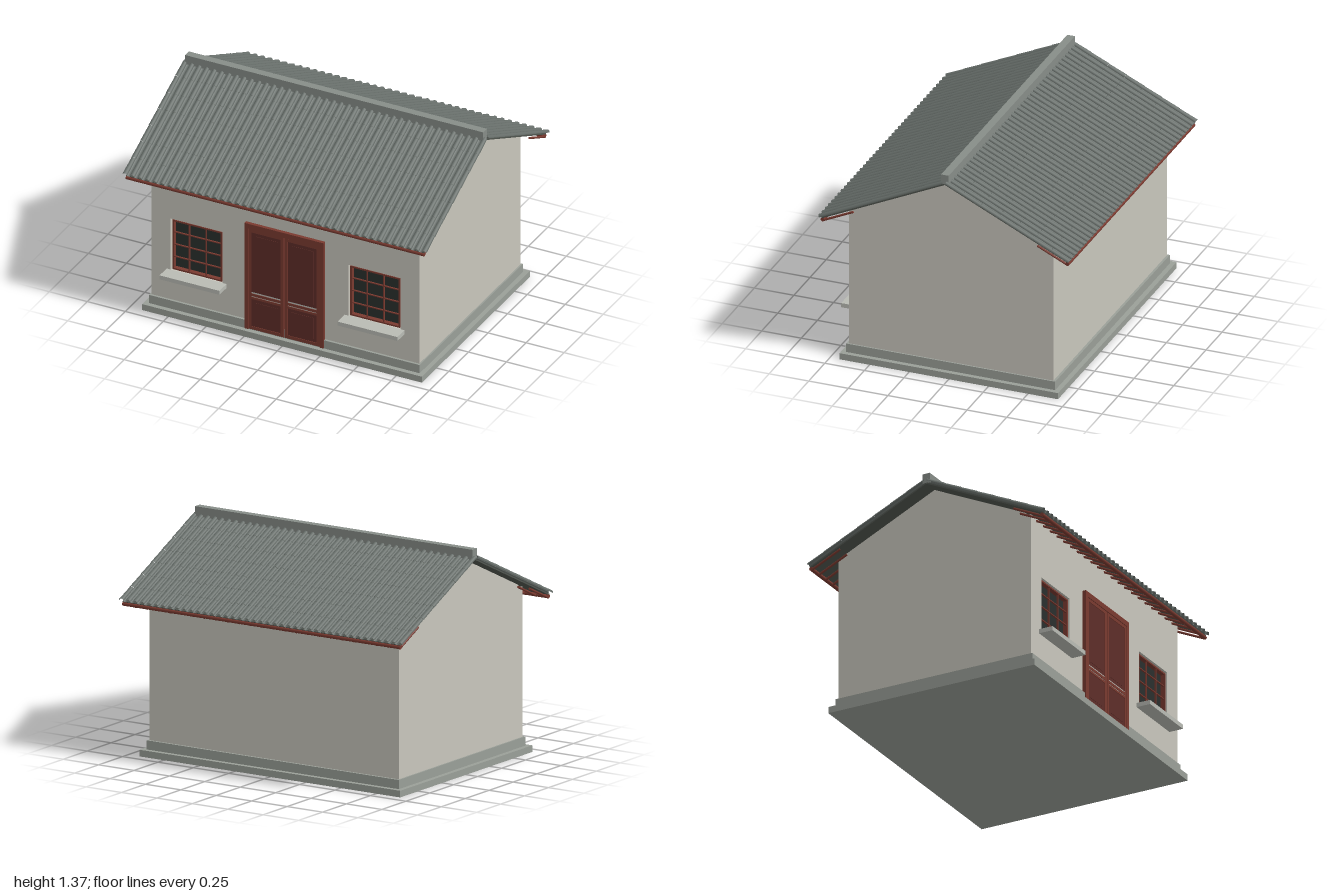
import * as THREE from 'three';
import { mergeGeometries } from 'three/addons/utils/BufferGeometryUtils.js';

const mat = (color) => new THREE.MeshStandardMaterial({ color });
const M = {
  wall: mat(0xc8c6bc), stone: mat(0x9a9f98), sill: mat(0xb9bbb4), ridge: mat(0x878d88),
  slab: mat(0x50554f), tile: mat(0x686f6b), wood: mat(0x7a3a30), panel: mat(0x5e2d28), glass: mat(0x2a2f2d),
};
M.tile.side = THREE.DoubleSide;

const SLOPE = Math.atan(0.47), APEX = 1.3, SLOPE_LEN = 0.862;

function add(parent, name, geo, material) {
  const m = new THREE.Mesh(geo, material);
  m.name = name;
  parent.add(m);
  return m;
}

// Box given by its extents
function span(x0, x1, y0, y1, z0, z1) {
  return new THREE.BoxGeometry(x1 - x0, y1 - y0, z1 - z0)
    .translate((x0 + x1) / 2, (y0 + y1) / 2, (z0 + z1) / 2);
}

// Rectangular frame of width w
function frameGeo(x0, x1, y0, y1, w, z0, z1) {
  return mergeGeometries([
    span(x0, x0 + w, y0, y1, z0, z1), span(x1 - w, x1, y0, y1, z0, z1),
    span(x0 + w, x1 - w, y1 - w, y1, z0, z1), span(x0 + w, x1 - w, y0, y0 + w, z0, z1),
  ]);
}

function buildWalls() {
  const g = new THREE.Group();
  g.name = 'walls';
  add(g, 'baseSlab', span(-0.92, 0.92, 0, 0.04, -0.69, 0.69), M.stone);
  add(g, 'plinth', span(-0.89, 0.89, 0.04, 0.095, -0.66, 0.66), M.stone);

  // Gabled body, its section running along x
  const s = new THREE.Shape();
  [[0.645, 0.05], [0.645, 0.997], [0, APEX], [-0.605, 1.016], [-0.605, 0.05]]
    .forEach(([x, y], i) => (i ? s.lineTo(x, y) : s.moveTo(x, y)));
  const body = new THREE.ExtrudeGeometry(s, { depth: 1.76, bevelEnabled: false });
  add(g, 'gabledBody', body.translate(0, 0, -0.88).rotateY(Math.PI / 2), M.wall);

  // Front wall with window openings
  const f = new THREE.Shape();
  f.moveTo(-0.88, 0.05).lineTo(0.88, 0.05).lineTo(0.88, 0.997).lineTo(-0.88, 0.997).closePath();
  for (const c of [-0.585, 0.585]) {
    const h = new THREE.Path();
    h.moveTo(c - 0.17, 0.295).lineTo(c - 0.17, 0.64).lineTo(c + 0.17, 0.64).lineTo(c + 0.17, 0.295).closePath();
    f.holes.push(h);
  }
  const front = new THREE.ExtrudeGeometry(f, { depth: 0.04, bevelEnabled: false });
  add(g, 'frontWall', front.translate(0, 0, 0.605), M.wall);
  return g;
}

function buildWindow(cx) {
  const g = new THREE.Group();
  g.name = 'window';
  g.position.x = cx;
  add(g, 'glass', span(-0.16, 0.16, 0.3, 0.63, 0.604, 0.61), M.glass);
  add(g, 'windowFrame', frameGeo(-0.163, 0.163, 0.297, 0.632, 0.01, 0.604, 0.638), M.wood);
  const bars = [];
  for (const x of [-0.055, 0.055]) bars.push(span(x - 0.003, x + 0.003, 0.3, 0.63, 0.624, 0.634));
  for (const y of [0.383, 0.466, 0.549]) bars.push(span(-0.16, 0.16, y - 0.003, y + 0.003, 0.624, 0.634));
  add(g, 'windowBars', mergeGeometries(bars), M.wood);
  add(g, 'windowSill', span(-0.197, 0.197, 0.268, 0.295, 0.64, 0.735), M.sill);
  return g;
}

function buildDoor() {
  const g = new THREE.Group();
  g.name = 'door';
  add(g, 'doorFrame', mergeGeometries([
    span(-0.26, -0.235, 0.042, 0.755, 0.64, 0.667), span(0.235, 0.26, 0.042, 0.755, 0.64, 0.667),
    span(-0.235, 0.235, 0.722, 0.755, 0.64, 0.667),
  ]), M.wood);
  for (const side of [-1, 1]) {
    const leaf = new THREE.Group();
    leaf.name = 'doorLeaf';
    leaf.position.x = side * 0.119;
    add(leaf, 'leafFrames', mergeGeometries([
      frameGeo(-0.116, 0.116, 0.046, 0.72, 0.02, 0.64, 0.664),
      span(-0.096, 0.096, 0.25, 0.264, 0.64, 0.664),
      span(-0.096, 0.096, 0.27, 0.287, 0.64, 0.664),
    ]), M.wood);
    // Recessed panels with raised centres
    for (const [y0, y1] of [[0.066, 0.25], [0.296, 0.7]]) {
      add(leaf, 'doorPanel', span(-0.096, 0.096, y0, y1, 0.64, 0.6605), M.panel);
      add(leaf, 'raisedPanel', span(-0.075, 0.075, y0 + 0.022, y1 - 0.022, 0.655, 0.6625), M.panel);
    }
    add(leaf, 'lightStrip', span(-0.096, 0.096, 0.264, 0.296, 0.64, 0.6605), M.sill);
    g.add(leaf);
  }
  return g;
}

// One roof slope: local z runs down the slope, local y is its normal
function buildSlope() {
  const g = new THREE.Group();
  g.name = 'roofSlope';
  g.position.y = APEX;
  g.rotation.x = SLOPE;
  add(g, 'roofSlab', span(-0.98, 0.98, 0, 0.008, 0, SLOPE_LEN - 0.004), M.slab);

  const N = 41, ROWS = 7, step = 1.968 / (N - 1), len = SLOPE_LEN / ROWS;
  const covers = [], pans = [];
  for (let i = 0; i < N; i++) {
    const x = -0.984 + i * step;
    for (let r = 0; r < ROWS; r++) {
      const z = (r + 0.5) * len;
      covers.push(new THREE.CylinderGeometry(0.016, 0.014, len, 8, 1, true, Math.PI / 2, Math.PI)
        .rotateX(Math.PI / 2).translate(x, 0.016, z));
    }
    // Hollow tile between neighbouring covers
    if (i < N - 1) pans.push(new THREE.CylinderGeometry(0.016, 0.016, SLOPE_LEN, 6, 1, true, -Math.PI / 3, Math.PI * 2 / 3)
      .rotateX(Math.PI / 2).translate(x + step / 2, 0.0245, SLOPE_LEN / 2));
  }
  add(g, 'coverTiles', mergeGeometries(covers), M.tile);
  add(g, 'panTiles', mergeGeometries(pans), M.tile);

  // Eave rafters and the beam along their ends
  const rafters = [];
  for (let i = 0; i < 25; i++) {
    rafters.push(new THREE.CylinderGeometry(0.007, 0.007, 0.215, 8)
      .rotateX(Math.PI / 2).translate(-0.973 + i * 1.946 / 24, -0.015, 0.757));
  }
  add(g, 'eaveRafters', mergeGeometries(rafters), M.wood);
  add(g, 'eaveBeam', new THREE.CylinderGeometry(0.012, 0.012, 1.96, 12)
    .rotateZ(Math.PI / 2).translate(0, -0.009, 0.858), M.wood);
  return g;
}

export function createModel() {
  const model = new THREE.Group();
  model.name = 'house';
  model.add(buildWalls(), buildDoor(), buildWindow(-0.585), buildWindow(0.585));

  const roof = new THREE.Group();
  roof.name = 'roof';
  for (const turn of [0, Math.PI]) {
    const half = new THREE.Group();
    half.name = turn ? 'backRoof' : 'frontRoof';
    half.rotation.y = turn;
    half.add(buildSlope());
    roof.add(half);
  }
  add(roof, 'ridgeCap', span(-0.98, 0.98, 1.305, 1.365, -0.024, 0.024), M.ridge);
  model.add(roof);
  return model;
}
